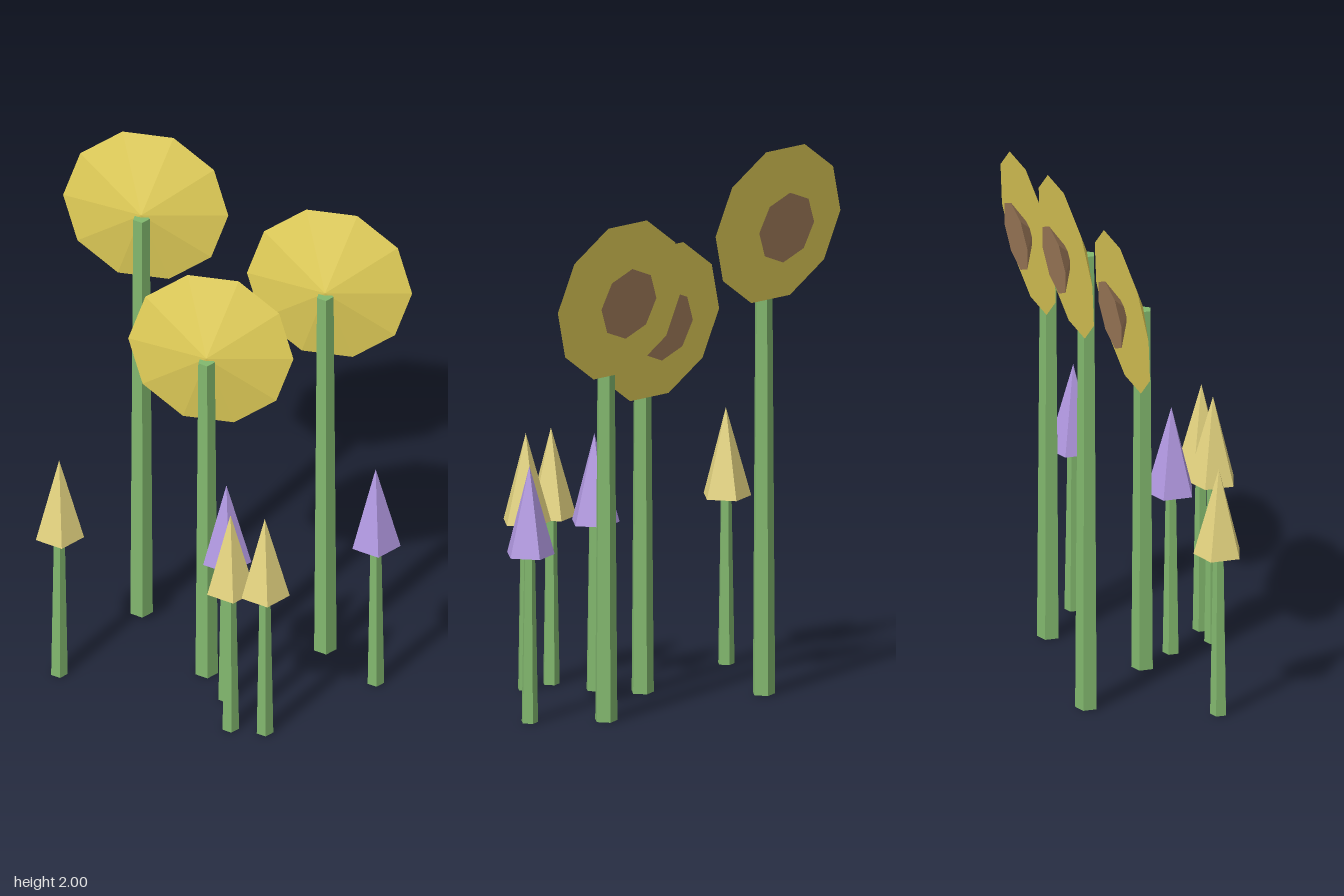
import * as THREE from 'three';

const material = (name, color) => {
  const m = new THREE.MeshStandardMaterial({ color, flatShading: true });
  m.name = name;
  return m;
};

export function createModel() {
  const green = material('stem green', 0x82b86e);
  const gold = material('petal gold', 0xe2ce58);
  const brown = material('seed brown', 0xa37e5c);
  const cream = material('bud pale yellow', 0xe4d480);
  const purple = material('bud purple', 0xb299e2);

  const model = new THREE.Group();
  model.name = 'flowerPatch';

  const add = (parent, name, geometry, mat, x, y, z) => {
    const mesh = new THREE.Mesh(geometry, mat);
    mesh.name = name;
    mesh.position.set(x, y, z);
    parent.add(mesh);
    return mesh;
  };

  // Tapered solid with one corner pointing to +x
  const taper = (top, bottom, height, sides) =>
    new THREE.CylinderGeometry(top, bottom, height, sides, 1, false, Math.PI / 2);
  const cone = (radius, height, sides) =>
    new THREE.ConeGeometry(radius, height, sides, 1, false, Math.PI / 2);

  // Tall flowers: x, z of the stem and its height
  const tall = [
    [-0.345, -0.284, 1.72],
    [0.335, -0.204, 1.54],
    [-0.045, 0.022, 1.358],
  ];
  const petalDepth = 0.077, seedDepth = 0.07;
  for (const [x, z, h] of tall) {
    const flower = new THREE.Group();
    flower.name = 'tallFlower';
    flower.position.set(x, 0, z);
    model.add(flower);
    add(flower, 'tallStem', taper(0.031, 0.042, h, 5), green, 0, h / 2, 0);

    // Head: shallow cone with its flat side to the back, seeds behind it
    const head = new THREE.Group();
    head.name = 'flowerHead';
    head.position.set(0, h, -petalDepth);
    head.rotation.x = Math.PI / 2 - 0.137;
    flower.add(head);
    add(head, 'petals', cone(0.298, petalDepth, 10), gold, 0, petalDepth / 2, 0);
    add(head, 'seeds', cone(0.131, seedDepth, 8), brown, 0, seedDepth / 2 - 0.046, 0);
  }

  // Short flowers: x, z and bud colour
  const small = [
    [-0.551, 0.138, cream],
    [0.057, 0.16, purple],
    [0.108, 0.331, cream],
    [0.231, 0.328, cream],
    [0.552, -0.043, purple],
  ];
  for (const [x, z, mat] of small) {
    const flower = new THREE.Group();
    flower.name = 'smallFlower';
    flower.position.set(x, 0, z);
    model.add(flower);
    add(flower, 'smallStem', taper(0.02, 0.031, 0.63, 5), green, 0, 0.315, 0);
    add(flower, 'bud', cone(0.09, 0.322, 5), mat, 0, 0.769, 0);
  }
  return model;
}
